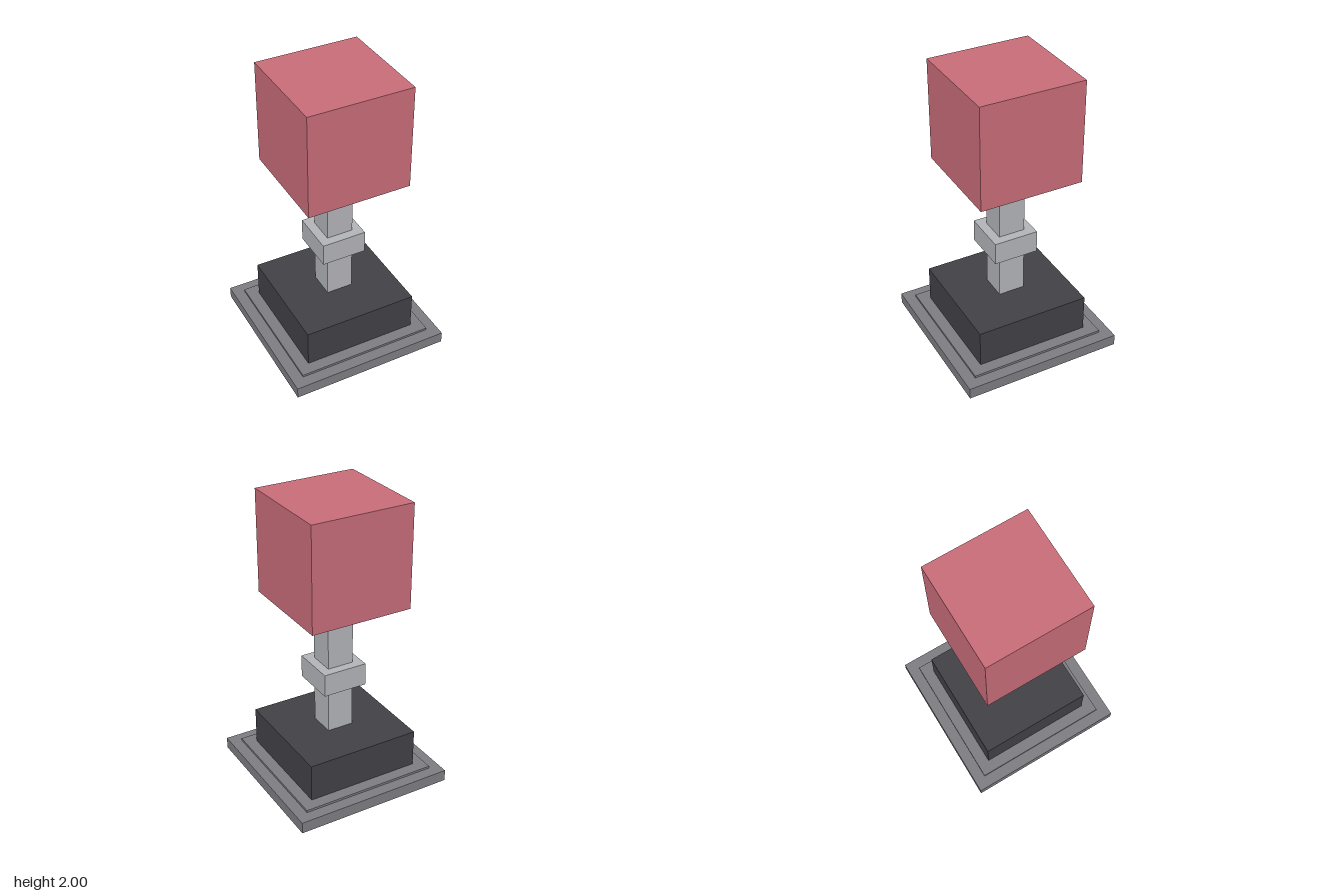
import * as THREE from 'three';

const paint = (name, color) => {
  const m = new THREE.MeshStandardMaterial({ color });
  m.name = name;
  return m;
};

export function createModel() {
  const group = new THREE.Group();
  group.name = 'cubeTrophy';

  const red = paint('dusty red', 0xc96d79);
  const silver = paint('light grey', 0xb4b5b9);
  const grey = paint('mid grey', 0x7e7d83);
  const dark = paint('charcoal', 0x424146);

  // Square block of the given width between two heights
  const block = (name, width, bottom, top, material) => {
    const mesh = new THREE.Mesh(new THREE.BoxGeometry(width, top - bottom, width), material);
    mesh.name = name;
    mesh.position.y = (bottom + top) / 2;
    group.add(mesh);
  };

  // Stepped base
  block('basePlate', 1.118, 0, 0.08, grey);
  block('baseStep', 0.96, 0.08, 0.096, grey);
  block('plinth', 0.798, 0.096, 0.36, dark);

  // Stem with its collar and cap
  block('lowerStem', 0.186, 0.36, 0.684, silver);
  block('stemCollar', 0.312, 0.684, 0.842, silver);
  block('upperStem', 0.186, 0.842, 1.206, silver);
  block('stemCap', 0.282, 1.206, 1.285, silver);

  // Cube on top
  block('topCube', 0.715, 1.285, 2, red);

  return group;
}
